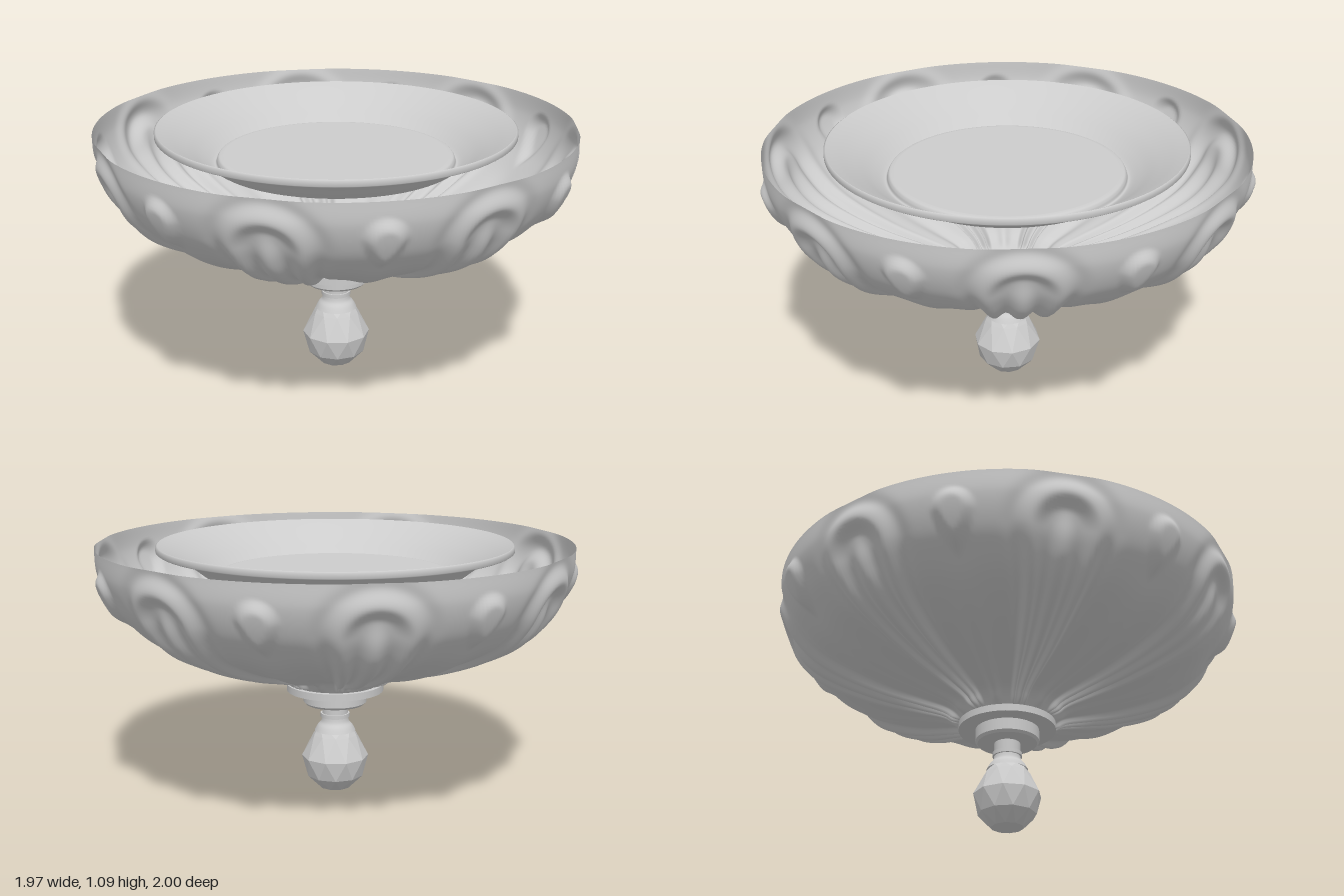
import * as THREE from 'three';

const LEAVES = 7;
const mat = (opts = {}) => new THREE.MeshStandardMaterial({ color: 0xcccccc, ...opts });
const v2 = (pts) => pts.map(([x, y]) => new THREE.Vector2(x, y));
const smooth = THREE.MathUtils.smoothstep;
const bell = (x, w) => Math.exp(-((x / w) ** 2));

// Relief height of the bowl at an angle from the nearest leaf's centre line
function relief(phi, y) {
  const p = Math.abs(phi);
  const q = Math.PI / LEAVES - p;
  const high = smooth(y, 0.72, 0.98);
  // arched leaf: a raised border, a groove and a pointed tongue in the middle
  const width = 0.15 + 0.03 * smooth(y, 0.65, 0.9);
  const f = Math.hypot(p / width, Math.max(0, y - 0.88) / 0.16);
  const g = Math.hypot(p / 0.07, Math.max(0, y - 0.78) / 0.16);
  let h = (0.026 - 0.016 * high) * bell(f - 0.78, 0.22);
  h -= 0.022 * high * (1 - smooth(f, 0.35, 0.8));
  h += 0.028 * (1 - smooth(g, 0.1, 1));
  h -= 0.01 * bell(f - 1.2, 0.2) * smooth(y, 0.55, 0.7);
  // fold running down between two leaves
  h += 0.016 * bell(q, 0.09) * (1 - smooth(y, 0.66, 0.82));
  // teardrop near the rim, its point downwards
  const d = y - 0.945;
  const drop = d > 0 ? Math.hypot(q / 0.092, d / 0.085)
    : ((q / 0.092) ** 1.4 + (-d / 0.155) ** 1.4) ** (1 / 1.4);
  return h + 0.027 * (1 - smooth(drop, 0.45, 1.02));
}

// Thin bowl: a revolved profile pushed out by the relief
function bowlGeometry() {
  const cols = LEAVES * 64, rows = 110;
  const curve = new THREE.SplineCurve(v2([
    [0.987, 1.09], [0.982, 1.0], [0.95, 0.91], [0.9, 0.835], [0.81, 0.752], [0.68, 0.682],
    [0.52, 0.622], [0.37, 0.582], [0.27, 0.555], [0.225, 0.53], [0.185, 0.488],
  ]));
  const pos = [], idx = [];
  const step = (Math.PI * 2) / LEAVES;
  for (let i = 0; i <= rows; i++) {
    const c = curve.getPointAt(i / rows), t = curve.getTangentAt(i / rows);
    for (let j = 0; j < cols; j++) {
      const a = (j / cols) * Math.PI * 2;
      const phi = a - Math.round(a / step) * step;
      const h = relief(phi, c.y) * smooth(c.y, 0.484, 0.53);
      const r = c.x - t.y * h;
      pos.push(r * Math.sin(a), c.y + t.x * h, r * Math.cos(a));
      if (i < rows) {
        const k = (j + 1) % cols, p = i * cols, n = p + cols;
        idx.push(p + j, n + j, n + k, p + j, n + k, p + k);
      }
    }
  }
  const geo = new THREE.BufferGeometry();
  geo.setAttribute('position', new THREE.Float32BufferAttribute(pos, 3));
  geo.setIndex(idx);
  geo.computeVertexNormals();
  return geo;
}

// Faceted drop: staggered rings joined by triangles
function crystalGeometry(sides = 10) {
  const rings = [[0.075, 0.285], [0.095, 0.26], [0.143, 0.165], [0.122, 0.08], [0.068, 0.025], [0, 0.002]];
  const at = (i, j) => {
    const a = ((j + (i % 2) / 2) / sides) * Math.PI * 2;
    return [rings[i][0] * Math.sin(a), rings[i][1], rings[i][0] * Math.cos(a)];
  };
  const pos = [];
  for (let i = 0; i < rings.length - 1; i++) {
    const o = i % 2; // odd rings sit half a step ahead
    for (let j = 0; j < sides; j++) {
      pos.push(...at(i, j), ...at(i + 1, j + o), ...at(i, j + 1));
      if (i < rings.length - 2) pos.push(...at(i, j), ...at(i + 1, j + o - 1), ...at(i + 1, j + o));
    }
  }
  const geo = new THREE.BufferGeometry();
  geo.setAttribute('position', new THREE.Float32BufferAttribute(pos, 3));
  geo.computeVertexNormals();
  return geo;
}

export function createModel() {
  const model = new THREE.Group();
  const add = (name, geo, material = mat()) => {
    const mesh = new THREE.Mesh(geo, material);
    mesh.name = name;
    model.add(mesh);
    return mesh;
  };

  add('bowl', bowlGeometry(), mat({ side: THREE.DoubleSide }));

  // Shallow dish inside the bowl: sloping ring, groove and raised flat middle
  const slope = new THREE.SplineCurve(v2([
    [0.735, 1.09], [0.68, 1.06], [0.61, 1.015], [0.55, 0.97], [0.51, 0.942], [0.495, 0.94],
    [0.49, 0.955], [0.482, 0.966], [0.465, 0.97],
  ]));
  const dish = [...slope.getPoints(48), new THREE.Vector2(0, 0.97)];
  add('dish', new THREE.LatheGeometry(dish, 96), mat({ side: THREE.DoubleSide }));
  add('dishRim', new THREE.LatheGeometry(v2([[0.735, 1.06], [0.742, 1.065], [0.742, 1.085], [0.735, 1.09]]), 96),
    mat({ side: THREE.DoubleSide }));

  // Stacked collars below the bowl
  const collar = (name, rTop, rBottom, top, bottom) => {
    add(name, new THREE.CylinderGeometry(rTop, rBottom, top - bottom, 48)).position.y = (top + bottom) / 2;
  };
  collar('flange', 0.206, 0.206, 0.488, 0.458);
  collar('lowerCollar', 0.135, 0.135, 0.46, 0.408);
  collar('collarBevel', 0.135, 0.125, 0.408, 0.398);
  collar('stem', 0.055, 0.055, 0.4, 0.33);
  collar('stemRing', 0.062, 0.062, 0.355, 0.338);

  // Flared cap holding the crystal
  const cap = new THREE.SplineCurve(v2([[0.087, 0.278], [0.075, 0.3], [0.06, 0.318], [0.055, 0.34]]));
  add('crystalCap', new THREE.LatheGeometry(cap.getPoints(10), 40), mat({ side: THREE.DoubleSide }));

  add('crystal', crystalGeometry(), mat({ flatShading: true }));
  return model;
}
